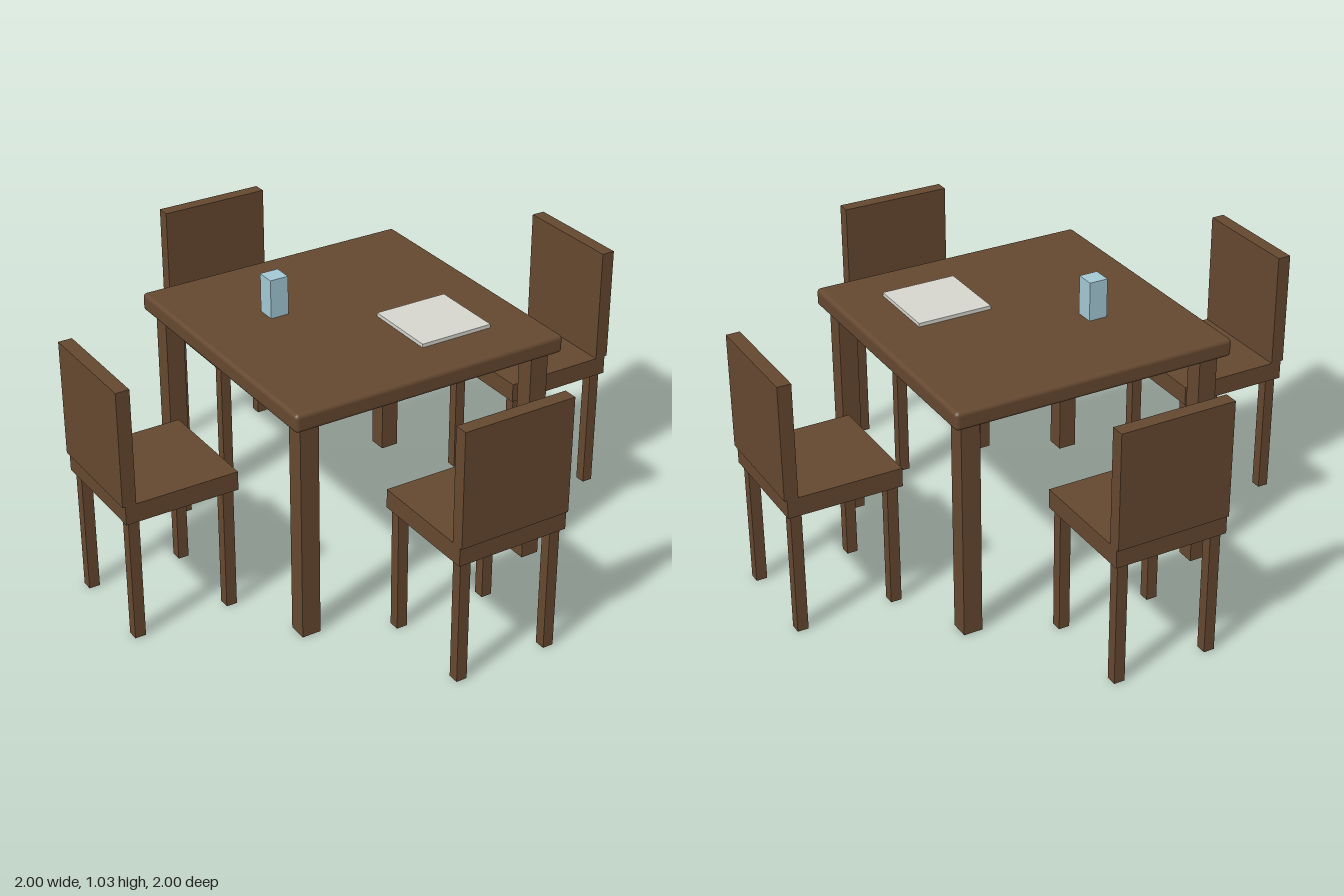
import * as THREE from 'three';
import { RoundedBoxGeometry } from 'three/addons/geometries/RoundedBoxGeometry.js';

const wood = new THREE.MeshStandardMaterial({ color: 0x654830 });
const glass = new THREE.MeshStandardMaterial({ color: 0xa3c8d4 });
const paper = new THREE.MeshStandardMaterial({ color: 0xd6d6ce });

// Box whose underside sits at height y
function box(name, [w, h, d], [x, y, z], material = wood) {
  const mesh = new THREE.Mesh(new THREE.BoxGeometry(w, h, d), material);
  mesh.name = name;
  mesh.position.set(x, y + h / 2, z);
  return mesh;
}

function createTable() {
  const table = new THREE.Group();
  table.name = 'table';
  const top = new THREE.Mesh(new RoundedBoxGeometry(1.06, 0.067, 1.06, 3, 0.015), wood);
  top.name = 'tableTop';
  top.position.y = 0.852;
  table.add(top);
  for (const x of [-0.46, 0.46])
    for (const z of [-0.46, 0.46])
      table.add(box('tableLeg', [0.07, 0.82, 0.07], [x, 0, z]));
  return table;
}

// Chair on the +z side, its backrest facing outward
function createChair() {
  const chair = new THREE.Group();
  chair.name = 'chair';
  chair.add(box('seat', [0.42, 0.07, 0.42], [0, 0.464, 0.78]));
  chair.add(box('backrest', [0.42, 0.424, 0.05], [0, 0.534, 0.975]));
  for (const x of [-0.177, 0.177])
    for (const z of [0.603, 0.957])
      chair.add(box('chairLeg', [0.04, 0.464, 0.04], [x, 0, z]));
  return chair;
}

export function createModel() {
  const model = new THREE.Group();
  model.name = 'diningSet';
  model.add(createTable());

  // One chair per table side
  for (let i = 0; i < 4; i++) {
    const chair = createChair();
    chair.rotation.y = (i * Math.PI) / 2;
    model.add(chair);
  }

  // Items on the table
  model.add(box('cup', [0.07, 0.145, 0.07], [-0.213, 0.885, -0.142], glass));
  model.add(box('placemat', [0.28, 0.014, 0.28], [0.212, 0.885, 0.212], paper));
  return model;
}
